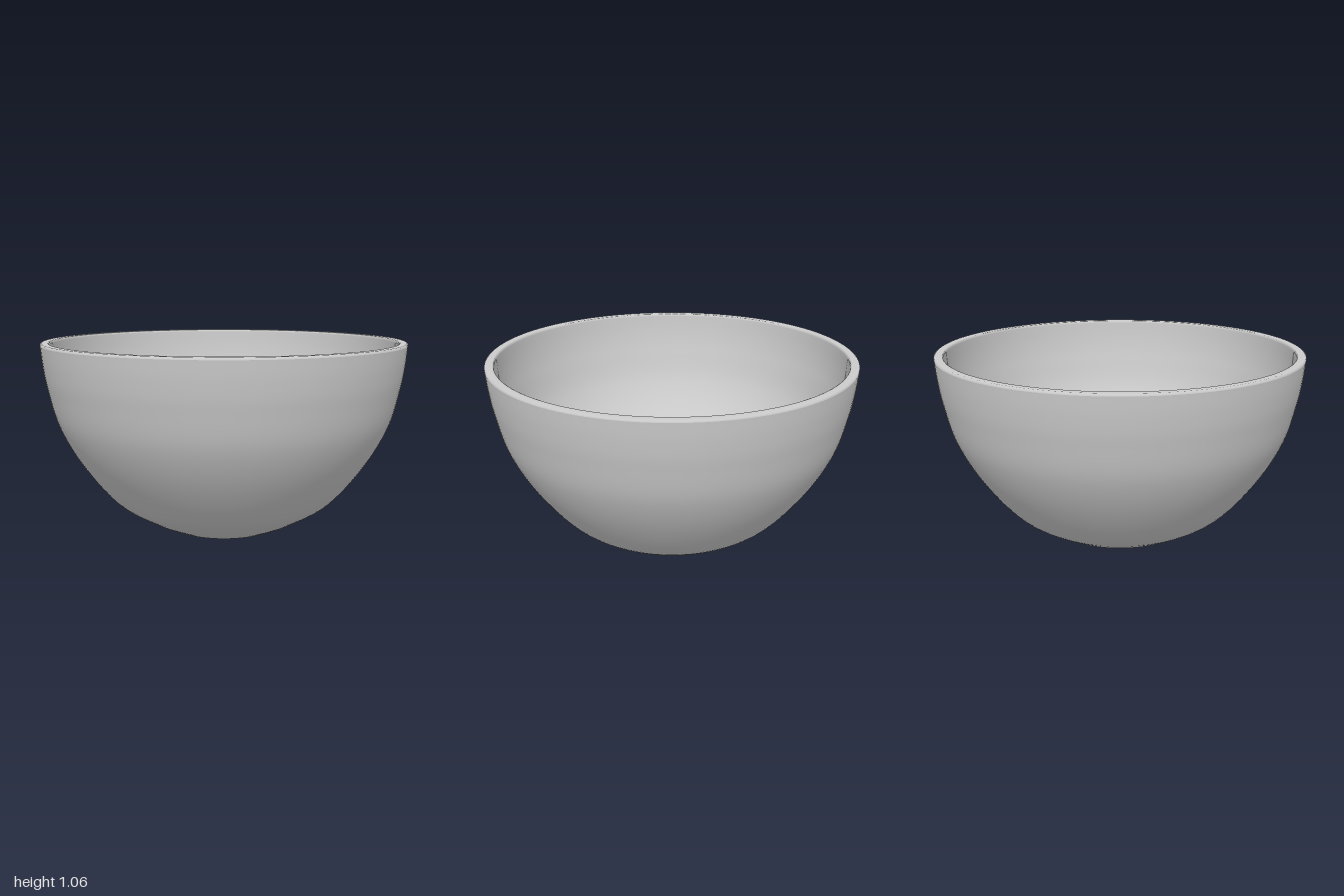
import * as THREE from 'three';

const SEGMENTS = 128;

// Smooth curve through [radius, height] pairs, sampled for a lathe
function smoothProfile(pairs, samples) {
  const curve = new THREE.SplineCurve(pairs.map(([r, y]) => new THREE.Vector2(r, y)));
  return curve.getPoints(samples);
}

const profile = (pairs) => pairs.map(([r, y]) => new THREE.Vector2(r, y));

export function createModel() {
  const bowl = new THREE.Group();
  bowl.name = 'bowl';
  const material = new THREE.MeshStandardMaterial({ color: 0xcccccc });

  const addLathe = (name, points) => {
    const mesh = new THREE.Mesh(new THREE.LatheGeometry(points, SEGMENTS), material);
    mesh.name = name;
    bowl.add(mesh);
  };

  // Underside: shallow recess inside a narrow standing ring
  addLathe('base', profile([
    [0, 0.01], [0.2, 0.01], [0.215, 0.008], [0.23, 0.002], [0.25, 0], [0.285, 0], [0.30, 0.003], [0.32, 0.01],
  ]));

  // Outer wall, from the foot up to the rim
  addLathe('outerWall', smoothProfile([
    [0.32, 0.01], [0.46, 0.077], [0.63, 0.19], [0.80, 0.4],
    [0.914, 0.61], [0.968, 0.81], [0.99, 0.94], [1, 1.045],
  ], 48));

  // Flat rim with slightly softened edges
  addLathe('rim', profile([
    [1, 1.045], [0.998, 1.053], [0.992, 1.057], [0.958, 1.057], [0.952, 1.054], [0.95, 1.045],
  ]));

  // Inner wall, following the outer wall down to the floor
  addLathe('innerWall', smoothProfile([
    [0.95, 1.045], [0.94, 0.94], [0.918, 0.82], [0.866, 0.63],
    [0.757, 0.43], [0.595, 0.23], [0.44, 0.125], [0.3, 0.062],
  ], 48));

  // Flat floor inside
  addLathe('floor', profile([[0.3, 0.062], [0.27, 0.056], [0.22, 0.055], [0, 0.055]]));

  return bowl;
}
